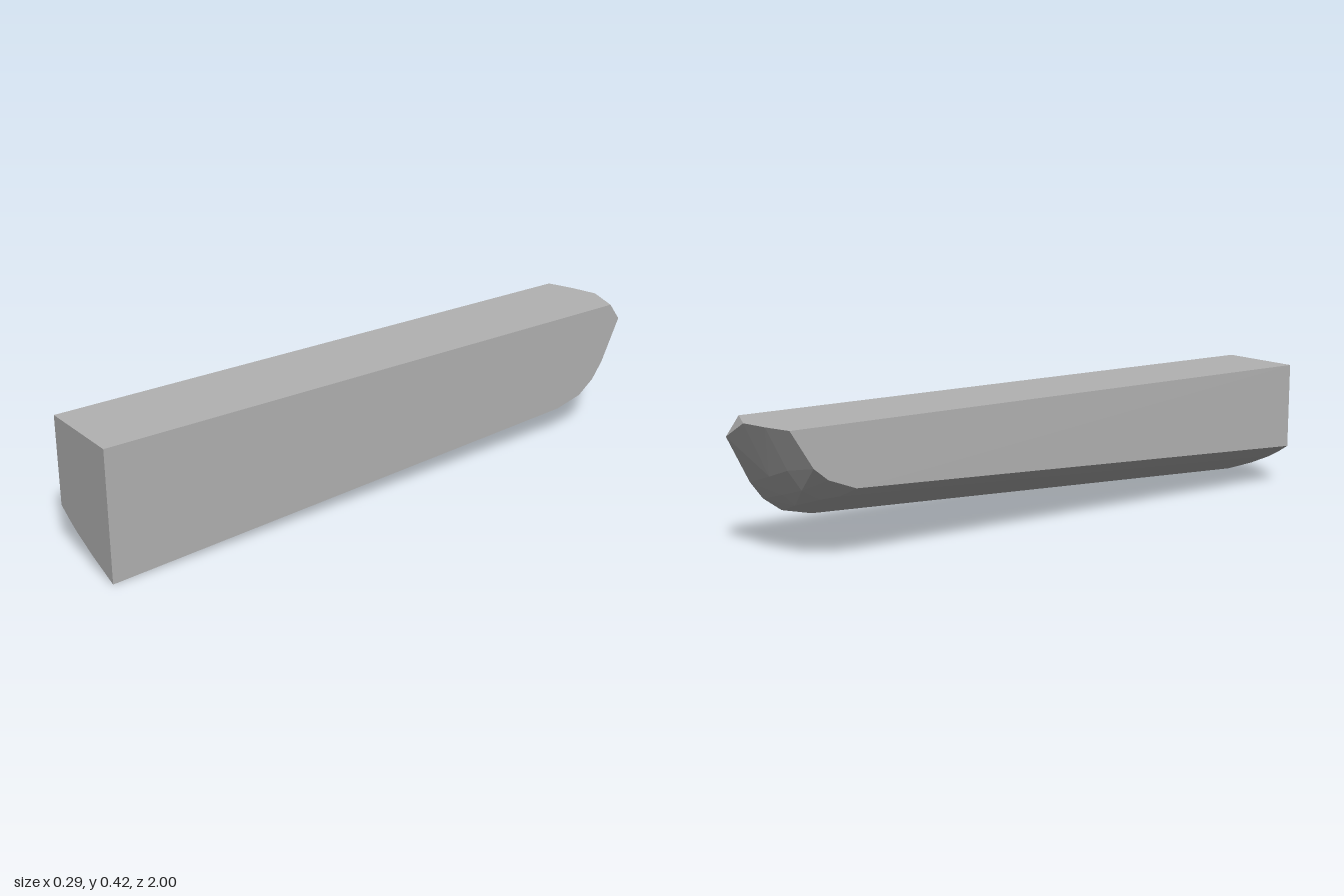
import * as THREE from 'three';
import { ConvexGeometry } from 'three/addons/geometries/ConvexGeometry.js';

const TOP = 0.423;
const SLOPE = 0.055; // rise of the underside per unit toward the back

export function createModel() {
  const group = new THREE.Group();
  group.name = 'beam';
  const grey = new THREE.MeshStandardMaterial({ color: 0xb2b2b2 });
  grey.name = 'plain grey';

  // Lengthwise columns: x, underside height at the front, and the tail outline as [z, y]
  const columns = [
    { x: -0.147, low: 0.135, tail: [[-0.947, TOP], [-0.876, 0.306], [-0.83, 0.267], [-0.74, 0.231]] },
    { x: -0.06, low: 0.083, tail: [[-0.978, TOP], [-0.913, 0.29], [-0.87, 0.226], [-0.81, 0.191]] },
    { x: 0.03, low: 0.043, tail: [[-1, TOP], [-0.925, 0.258], [-0.885, 0.198], [-0.845, 0.16], [-0.74, 0.139]] },
    { x: 0.147, low: 0, tail: [[-0.957, TOP], [-1, 0.365], [-0.93, 0.22], [-0.89, 0.165], [-0.83, 0.12], [-0.73, 0.095]] },
  ];
  const points = [];
  for (const { x, low, tail } of columns) {
    points.push(new THREE.Vector3(x, TOP, 1), new THREE.Vector3(x, low, 1));
    for (const [z, y] of tail) points.push(new THREE.Vector3(x, y, z));
  }
  // Extra ridge along the curved underside
  points.push(new THREE.Vector3(-0.1, 0.105, 1), new THREE.Vector3(-0.1, 0.105 + SLOPE * 1.77, -0.77));

  // Faceted solid with a straight shaft and a rounded tail
  const body = new THREE.Mesh(new ConvexGeometry(points), grey);
  body.name = 'beamBody';
  group.add(body);
  return group;
}
